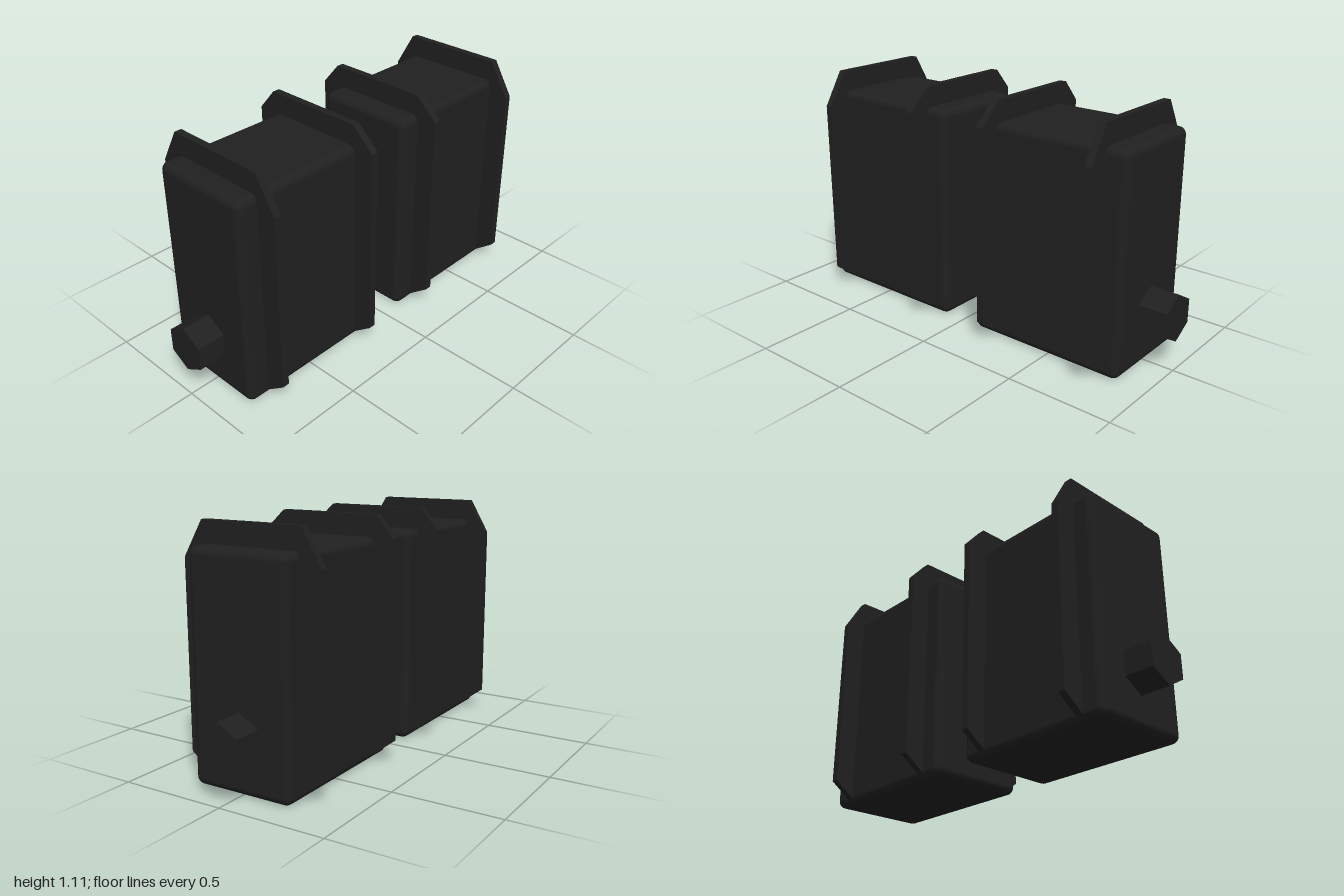
import * as THREE from 'three';
import { RoundedBoxGeometry } from 'three/addons/geometries/RoundedBoxGeometry.js';

const material = new THREE.MeshStandardMaterial({ color: 0x202020 });
const THICKNESS = 0.034;

function addMesh(parent, name, geometry, x, y, z) {
  const mesh = new THREE.Mesh(geometry, material);
  mesh.name = name;
  mesh.position.set(x, y, z);
  parent.add(mesh);
}

// Flat flange with chamfered corners; shoulder is the height where the top chamfers start
function flangeGeometry(topLeft, topRight, shoulder) {
  const outline = [
    [-0.22, 0.008], [0.22, 0.008], [0.342, 0.1], [0.342, shoulder],
    [topRight, 1.11], [topLeft, 1.11], [-0.342, shoulder], [-0.342, 0.1],
  ];
  const shape = new THREE.Shape(outline.map(([x, y]) => new THREE.Vector2(x, y)));
  const geometry = new THREE.ExtrudeGeometry(shape, { depth: THICKNESS, bevelEnabled: false });
  return geometry.translate(0, 0, -THICKNESS / 2);
}

// One housing at the front (side = 1) or back (side = -1)
function createUnit(name, side) {
  const unit = new THREE.Group();
  unit.name = name;

  // Rounded box body
  addMesh(unit, 'body', new RoundedBoxGeometry(0.49, 1.01, 0.778, 4, 0.036), 0, 0.507, side * 0.477);

  // Flanges around the body
  addMesh(unit, 'innerFlange', flangeGeometry(-0.256, 0.234, 1.01), 0, 0, side * 0.205);
  addMesh(unit, 'outerFlange', flangeGeometry(-0.25, 0.245, 0.95), 0, 0, side * 0.75);

  // Hexagonal stub at the outer end
  const stub = new THREE.CylinderGeometry(0.11, 0.11, 0.17, 6).toNonIndexed();
  stub.computeVertexNormals();
  stub.rotateX(Math.PI / 2);
  addMesh(unit, 'hexStub', stub, -0.005, 0.25, side * 0.915);
  return unit;
}

export function createModel() {
  const model = new THREE.Group();
  model.name = 'twinHousing';
  model.add(createUnit('frontUnit', 1), createUnit('backUnit', -1));
  return model;
}
